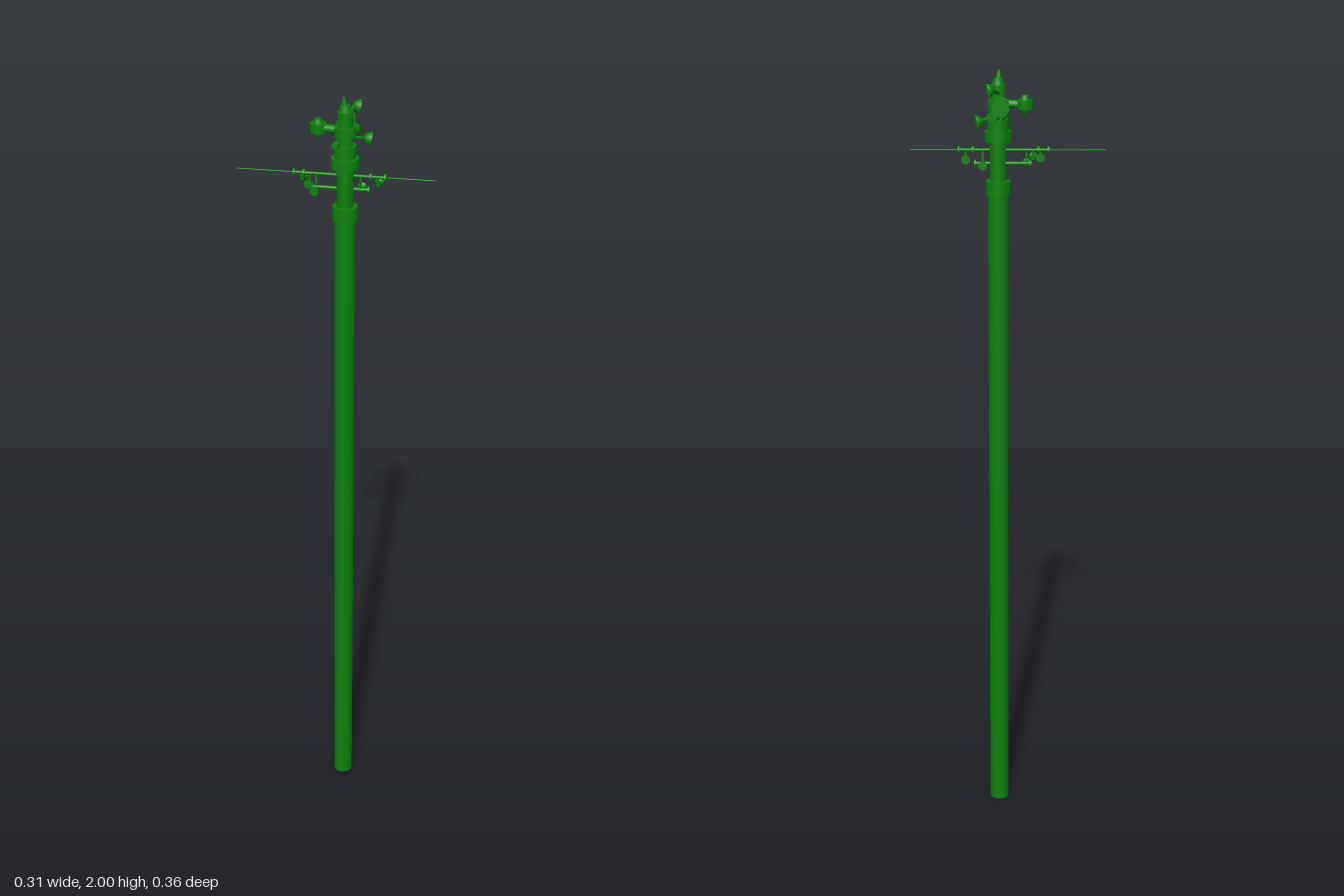
import * as THREE from 'three';

const material = new THREE.MeshStandardMaterial({ color: 0x0c800c, side: THREE.DoubleSide });
const V = (x, y, z) => new THREE.Vector3(x, y, z);
const UP = V(0, 1, 0);

function add(parent, name, geometry, x = 0, y = 0, z = 0) {
  const mesh = new THREE.Mesh(geometry, material);
  mesh.name = name;
  mesh.position.set(x, y, z);
  parent.add(mesh);
  return mesh;
}

// Straight round bar between two points, optionally tapered
function bar(parent, name, a, b, r0, r1 = r0, sides = 16) {
  const mesh = add(parent, name, new THREE.CylinderGeometry(r1, r0, a.distanceTo(b), sides));
  mesh.position.copy(a).add(b).multiplyScalar(0.5);
  mesh.quaternion.setFromUnitVectors(UP, b.clone().sub(a).normalize());
  return mesh;
}

// Stem with a flared end, pointing from a to b
function spool(parent, a, b, r) {
  const g = new THREE.Group();
  g.name = 'flaredStub';
  const mid = a.clone().lerp(b, 0.75);
  bar(g, 'stem', a, mid, r * 0.4, r * 0.4, 10);
  bar(g, 'flare', mid, b, r * 0.4, r, 12);
  parent.add(g);
}

export function createModel() {
  const model = new THREE.Group();
  model.name = 'mast';

  // Main tube and stepped upper sections, as radius / bottom / top
  const column = new THREE.Group();
  column.name = 'column';
  column.position.set(0.0135, 0, 0.02);
  model.add(column);
  [
    ['mainTube', 0.025, 0, 1.7],
    ['lowerCollar', 0.03, 1.7, 1.735],
    ['innerTube', 0.02, 1.735, 1.83],
    ['upperCollar', 0.033, 1.83, 1.855],
    ['headBase', 0.026, 1.855, 1.885],
    ['headTube', 0.018, 1.885, 1.965],
    ['headRing', 0.025, 1.905, 1.93],
  ].forEach(([name, r, y0, y1]) => {
    add(column, name, new THREE.CylinderGeometry(r, r, y1 - y0, 28), 0, (y0 + y1) / 2, 0);
  });
  add(column, 'headCap', new THREE.CylinderGeometry(0.011, 0.015, 0.016, 20), 0, 1.973, 0);
  bar(column, 'tip', V(-0.002, 1.98, 0), V(-0.004, 2, 0), 0.007, 0.003, 10);

  // Diagonal cross rods; local x runs along the rods
  const cross = new THREE.Group();
  cross.name = 'crossRods';
  cross.rotation.y = -0.862;
  model.add(cross);
  bar(cross, 'longRod', V(-0.237, 1.81, 0), V(0.237, 1.81, 0), 0.0016, 0.0016, 8);
  bar(cross, 'upperArm', V(-0.1, 1.81, 0), V(0.12, 1.81, 0), 0.0038, 0.0038, 10);
  bar(cross, 'lowerArm', V(-0.055, 1.777, 0), V(0.08, 1.777, 0), 0.0045, 0.0045, 10);
  for (const [x, y] of [[-0.098, 1.81], [-0.074, 1.81], [0.119, 1.81], [0.085, 1.81],
    [-0.055, 1.777], [0.08, 1.777]]) {
    bar(cross, 'rodDisc', V(x - 0.0025, y, 0), V(x + 0.0025, y, 0), 0.009, 0.009, 14);
  }
  for (const [x, y, z] of [[-0.079, 1.795, -0.022], [-0.061, 1.79, 0.022],
    [-0.045, 1.775, 0.027], [0.102, 1.79, -0.024], [0.061, 1.775, -0.024]]) {
    spool(cross, V(x, y, 0), V(x, y, z), 0.011);
    bar(cross, 'hanger', V(x, 1.81, 0), V(x, y, 0), 0.003, 0.003, 8);
  }

  // Small drum carried on the rear right of the head
  const drum = new THREE.Group();
  drum.name = 'sideDrum';
  drum.position.set(-0.022, 1.92, -0.035);
  model.add(drum);
  add(drum, 'drumBody', new THREE.CylinderGeometry(0.019, 0.019, 0.022, 20));
  add(drum, 'drumCap', new THREE.CylinderGeometry(0.008, 0.012, 0.012, 16), 0, 0.016, 0);
  add(drum, 'drumFoot', new THREE.CylinderGeometry(0.012, 0.008, 0.01, 16), 0, -0.015, 0);
  bar(model, 'drumArm', V(-0.022, 1.92, -0.035), V(0.0135, 1.92, 0.02), 0.01);

  // Horizontal barrel with end rings
  const a = V(0.008, 1.92, 0.015), b = V(0.072, 1.92, -0.04);
  bar(model, 'barrel', a, b, 0.016, 0.016, 24);
  for (const [t0, t1] of [[0.25, 0.34], [0.88, 1.02]]) {
    bar(model, 'barrelRing', a.clone().lerp(b, t0), a.clone().lerp(b, t1), 0.02, 0.02, 24);
  }
  bar(model, 'barrelMount', V(0.018, 1.9, 0.01), V(0.078, 1.9, -0.018), 0.013);

  // Two tilted cups on stalks
  for (const [x, y, z] of [[0.069, 1.961, -0.003], [0.082, 1.886, 0.021]]) {
    const profile = [[0, -0.011], [0.008, -0.009], [0.014, -0.002], [0.017, 0.006],
      [0.015, 0.006], [0.009, 0], [0, -0.003]].map(([r, h]) => new THREE.Vector2(r, h));
    const cup = add(model, 'cup', new THREE.LatheGeometry(profile, 20), x, y, z);
    cup.quaternion.setFromUnitVectors(UP, V(0.75, -0.3, 0.5).normalize());
    bar(model, 'cupStalk', V(0.02, y < 1.92 ? 1.9 : 1.945, 0.012), V(x - 0.006, y, z - 0.004), 0.005, 0.004, 10);
  }

  // Bracket plate across the head
  const plate = add(model, 'headBracket', new THREE.BoxGeometry(0.075, 0.012, 0.014), 0.01, 1.89, 0.008);
  plate.rotation.y = 0.5;
  return model;
}
